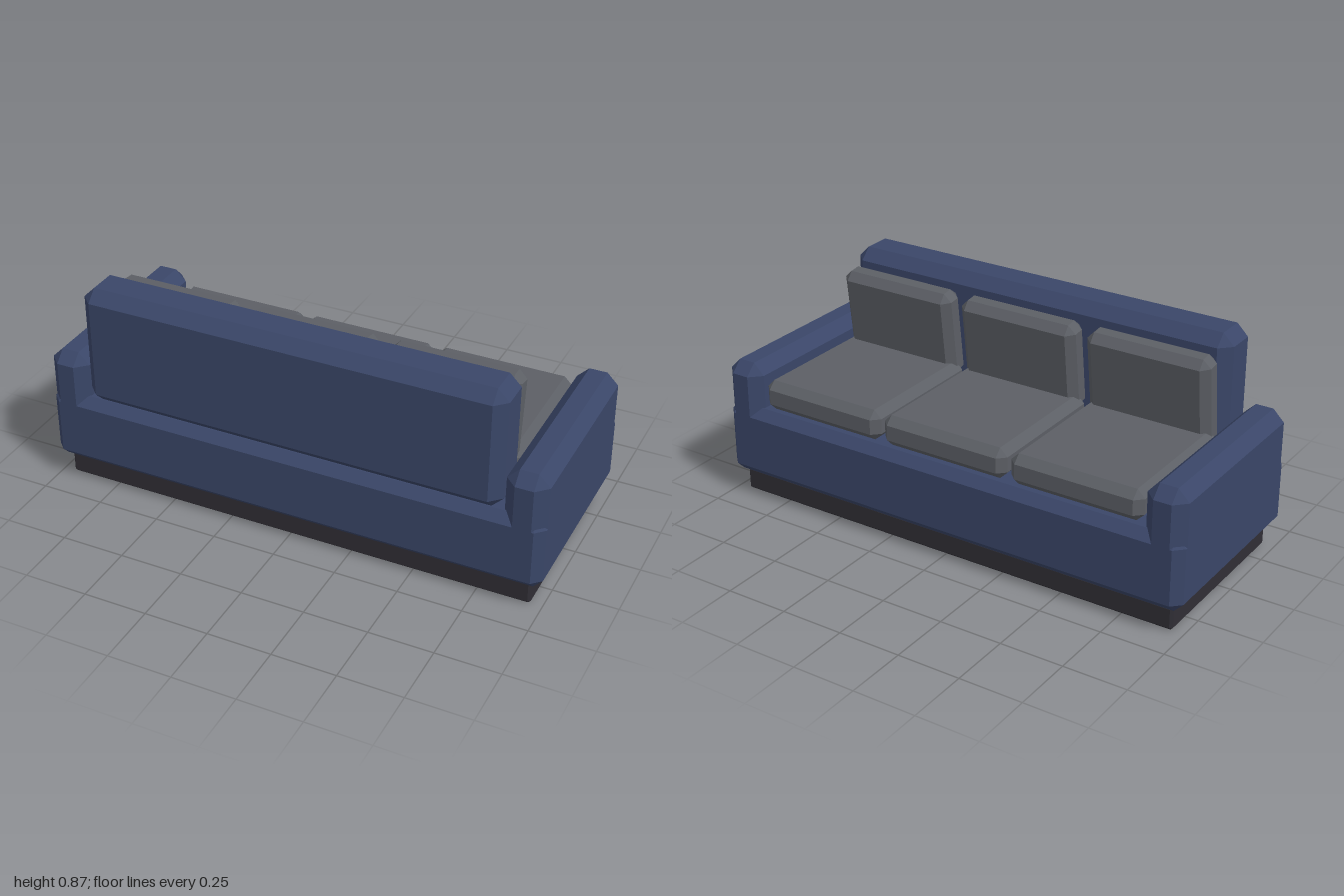
import * as THREE from 'three';
import { ConvexGeometry } from 'three/addons/geometries/ConvexGeometry.js';

const material = (name, color) => {
  const m = new THREE.MeshStandardMaterial({ color, flatShading: true });
  m.name = name;
  return m;
};

// Box with every edge cut at 45 degrees and every corner a triangle
function chamferBox(w, h, d, c) {
  const points = [];
  for (const sx of [-1, 1]) for (const sy of [-1, 1]) for (const sz of [-1, 1]) {
    for (let axis = 0; axis < 3; axis++) {
      const inset = [c, c, c];
      inset[axis] = 0;
      points.push(new THREE.Vector3(
        sx * (w / 2 - inset[0]), sy * (h / 2 - inset[1]), sz * (d / 2 - inset[2])));
    }
  }
  return new ConvexGeometry(points);
}

export function createModel() {
  const sofa = new THREE.Group();
  sofa.name = 'sofa';
  const blue = material('blue fabric', 0x3a4668);
  const grey = material('grey cushion', 0x5c5f65);
  const dark = material('dark plinth', 0x302e35);

  // Adds a chamfered block given its centre and size
  const add = (name, mat, [x, y, z], [w, h, d], c) => {
    const mesh = new THREE.Mesh(chamferBox(w, h, d, c), mat);
    mesh.name = name;
    mesh.position.set(x, y, z);
    sofa.add(mesh);
    return mesh;
  };

  // Frame
  add('plinth', dark, [0, 0.0475, 0], [1.91, 0.095, 0.726], 0.01);
  add('base', blue, [0, 0.239, 0], [2, 0.292, 0.818], 0.036);
  add('backrest', blue, [0, 0.624, 0.31], [1.67, 0.482, 0.2], 0.045);
  for (const side of [-1, 1]) {
    add(side < 0 ? 'rightArm' : 'leftArm', blue,
      [side * 0.92, 0.375, 0], [0.16, 0.38, 0.818], 0.045);
  }

  // Three seat cushions with leaning back cushions
  const tilt = 0.122;
  const backHeight = 0.36;
  for (const x of [-0.557, 0, 0.557]) {
    add('seatCushion', grey, [x, 0.45, -0.09], [0.54, 0.122, 0.59], 0.031);
    const back = add('backCushion', grey,
      [x, 0.808 - Math.cos(tilt) * backHeight / 2, 0.147 + Math.sin(tilt) * backHeight / 2],
      [0.508, backHeight, 0.106], 0.031);
    back.rotation.x = -tilt;
  }
  return sofa;
}
